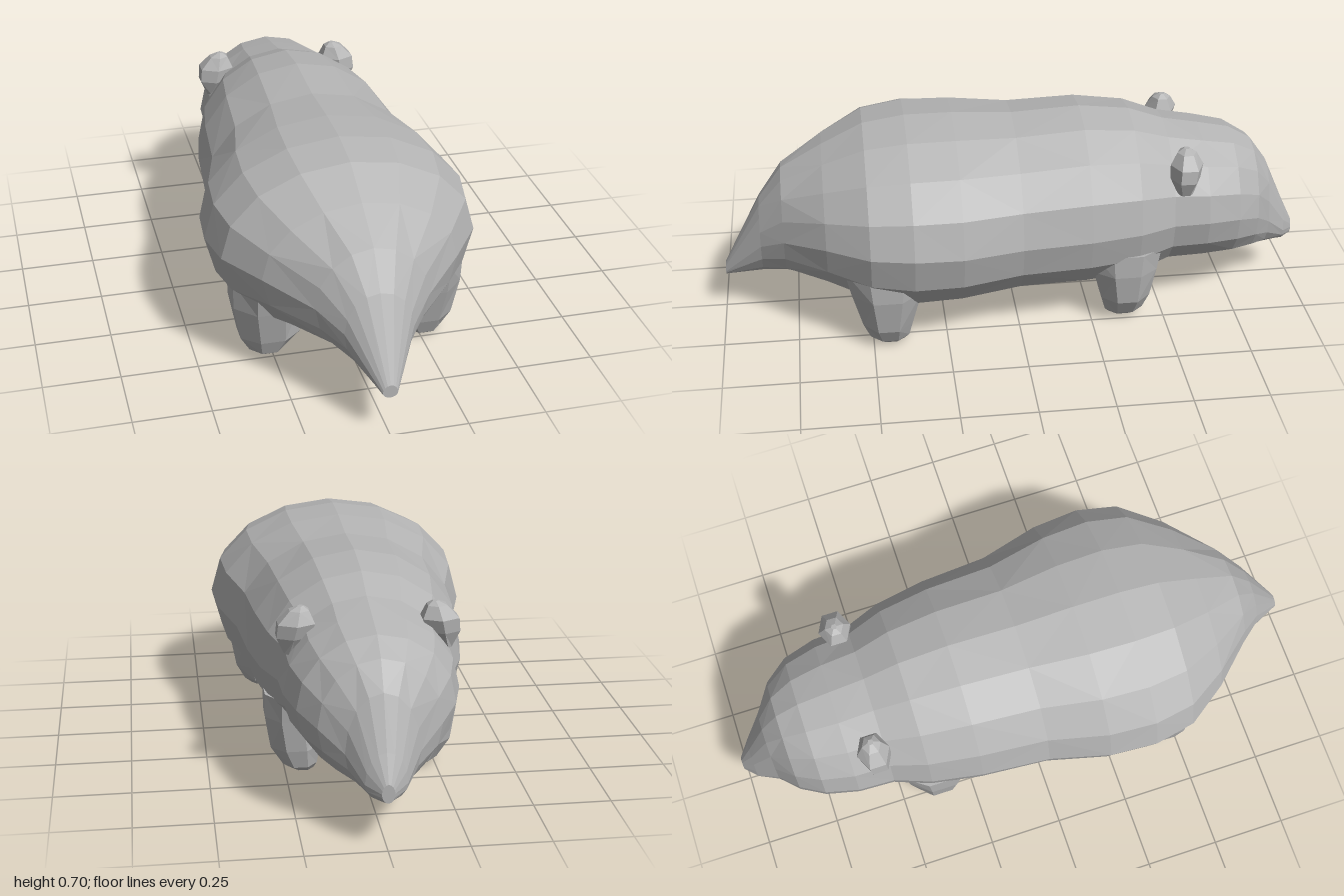
import * as THREE from 'three';

const grey = new THREE.MeshStandardMaterial({ color: 0xb4b4b4, flatShading: true });
grey.name = 'stoneGrey';

// Closed faceted skin over a list of rings, each an array of [x, y, z]
function loft(name, rings) {
  const n = rings[0].length, pos = rings.flat(2), idx = [];
  const centre = ring => [0, 1, 2].map(k => ring.reduce((s, p) => s + p[k], 0) / n);
  const last = rings.length - 1, c0 = rings.length * n, c1 = c0 + 1;
  pos.push(...centre(rings[0]), ...centre(rings[last]));
  for (let j = 0; j < n; j++) {
    const k = (j + 1) % n;
    for (let i = 0; i < last; i++) {
      const a = i * n + j, b = i * n + k, c = a + n, d = b + n;
      if ((i + j) % 2) idx.push(a, b, c, b, d, c);
      else idx.push(a, b, d, a, d, c);
    }
    idx.push(c0, k, j, c1, last * n + j, last * n + k);
  }
  const g = new THREE.BufferGeometry();
  g.setAttribute('position', new THREE.Float32BufferAttribute(pos, 3));
  g.setIndex(idx);
  const flat = g.toNonIndexed();
  flat.computeVertexNormals();
  const mesh = new THREE.Mesh(flat, grey);
  mesh.name = name;
  return mesh;
}

// Upright limb: rings of [y, centre x, centre z, radius x, radius z]
function limb(name, side, rows, n = 8) {
  return loft(name, rows.map(([y, cx, cz, rx, rz]) =>
    Array.from({ length: n }, (_, j) => {
      const t = (j + 0.5) / n * Math.PI * 2;
      return [side * cx + rx * Math.cos(t), y, cz - rz * Math.sin(t)];
    })));
}

export function createModel() {
  const group = new THREE.Group();
  group.name = 'animal';

  // Body, from snout to tail: z, half width, top y, widest y, bottom y
  const sections = [
    [-1.0, 0.02, 0.215, 0.185, 0.155],
    [-0.96, 0.065, 0.3, 0.2, 0.145],
    [-0.89, 0.115, 0.46, 0.27, 0.14],
    [-0.83, 0.19, 0.545, 0.33, 0.14],
    [-0.75, 0.245, 0.592, 0.36, 0.138],
    [-0.64, 0.275, 0.615, 0.37, 0.138],
    [-0.52, 0.28, 0.638, 0.37, 0.135],
    [-0.4, 0.325, 0.682, 0.37, 0.09],
    [-0.23, 0.355, 0.702, 0.37, 0.08],
    [0, 0.375, 0.69, 0.37, 0.082],
    [0.2, 0.43, 0.702, 0.38, 0.065],
    [0.36, 0.443, 0.702, 0.39, 0.06],
    [0.5, 0.415, 0.68, 0.39, 0.085],
    [0.64, 0.315, 0.61, 0.38, 0.135],
    [0.78, 0.18, 0.53, 0.34, 0.158],
    [0.86, 0.11, 0.42, 0.29, 0.15],
    [0.99, 0.024, 0.175, 0.15, 0.132],
  ];
  const n = 16;
  group.add(loft('body', sections.map(([z, w, top, mid, bot]) =>
    Array.from({ length: n }, (_, j) => {
      const t = j / n * Math.PI * 2, s = Math.sin(t);
      return [w * Math.cos(t), mid + s * (s > 0 ? top - mid : mid - bot), z];
    }))));

  for (const side of [1, -1]) {
    const label = side > 0 ? 'left' : 'right';

    // Wide legs at the heavy end
    group.add(limb(label + 'WideLeg', side, [
      [0.0, 0.268, 0.44, 0.035, 0.045],
      [0.02, 0.265, 0.445, 0.065, 0.07],
      [0.075, 0.258, 0.45, 0.106, 0.09],
      [0.2, 0.268, 0.45, 0.12, 0.125],
      [0.3, 0.27, 0.45, 0.12, 0.15],
    ]));

    // Narrow legs behind the head
    group.add(limb(label + 'NarrowLeg', side, [
      [0.003, 0.19, -0.36, 0.04, 0.045],
      [0.025, 0.2, -0.365, 0.06, 0.07],
      [0.09, 0.215, -0.365, 0.088, 0.09],
      [0.2, 0.23, -0.36, 0.09, 0.115],
      [0.28, 0.23, -0.36, 0.09, 0.13],
    ]));

    // Small pointed ears, leaning outwards
    group.add(limb(label + 'Ear', side, [
      [0.475, 0.25, -0.555, 0.015, 0.025],
      [0.53, 0.235, -0.555, 0.06, 0.05],
      [0.575, 0.225, -0.56, 0.066, 0.055],
      [0.615, 0.215, -0.56, 0.035, 0.032],
      [0.628, 0.21, -0.56, 0.01, 0.01],
    ], 6));
  }
  return group;
}
